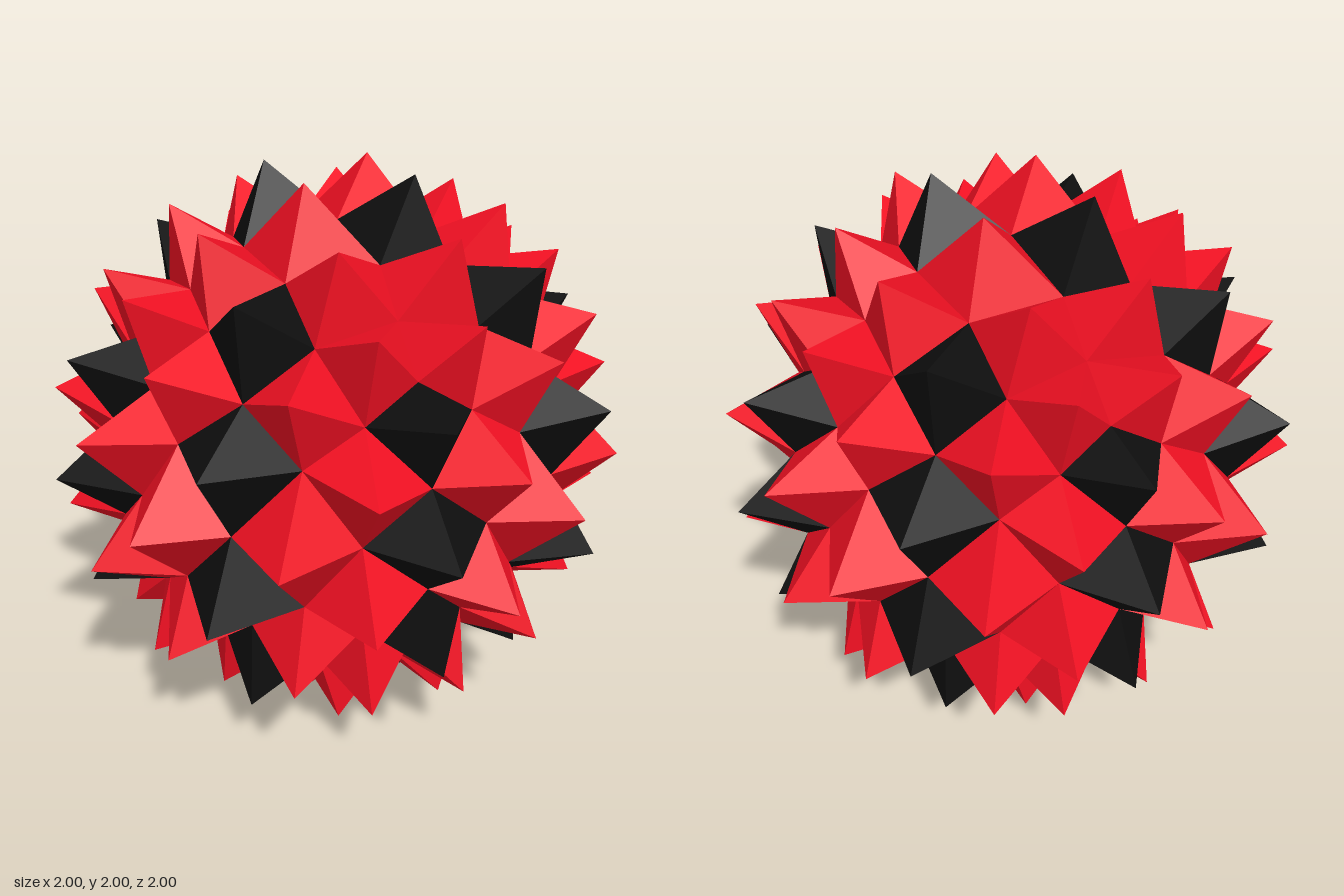
import * as THREE from 'three';

// Spiked ball: a sphere of 108 four-sided cells on a cube layout, each raised into a pyramid.
// Points are [u, v, n] in one quadrant of a cube face (n points outward).
const valley = {
  centre: [0, 0, 0.82],
  inner: [0.25, 0.22, 0.75],
  midU: [0.415, 0, 0.71],
  midV: [0, 0.405, 0.71],
  diagonal: [0.375, 0.375, 0.63],
  edgeU: [0.58, 0.185, 0.58],
  edgeV: [0.185, 0.58, 0.58],
  corner: [0.49, 0.49, 0.49],
};

// Each pyramid (or the part of it inside the quadrant): tip, then the chain of base points
const pyramids = [
  { tip: [0.28, 0, 1], base: ['centre', 'inner', 'midU'], black: true },
  { tip: [0, 0.26, 1], base: ['centre', 'inner', 'midV'] },
  { tip: [0.525, 0.24, 0.875], base: ['inner', 'midU', 'edgeU', 'diagonal', 'inner'] },
  { tip: [0.24, 0.525, 0.875], base: ['inner', 'midV', 'edgeV', 'diagonal', 'inner'] },
  { tip: [0.74, 0, 0.74], base: ['midU', 'edgeU'], black: true },
  { tip: [0, 0.74, 0.74], base: ['midV', 'edgeV'], black: true },
  { tip: [0.68, 0.435, 0.68], base: ['edgeU', 'diagonal', 'corner'] },
  { tip: [0.435, 0.68, 0.68], base: ['edgeV', 'diagonal', 'corner'], blackOnSides: true },
];

// Which world axis (0 = x, 1 = y, 2 = z) plays u, v and n on each pair of cube faces
const faces = [
  { axes: [1, 0, 2], side: true },
  { axes: [1, 2, 0], side: true },
  { axes: [0, 2, 1], side: false },
];

function place(point, axes, signs) {
  const p = new THREE.Vector3();
  axes.forEach((axis, i) => p.setComponent(axis, point[i] * signs[i]));
  return p;
}

// Adds a triangle, turned so that it faces away from the middle of the ball
function addTriangle(list, a, b, c) {
  const normal = b.clone().sub(a).cross(c.clone().sub(a));
  const middle = a.clone().add(b).add(c);
  const order = normal.dot(middle) > 0 ? [a, b, c] : [a, c, b];
  for (const p of order) list.push(p.x, p.y + 1, p.z);
}

function makeMesh(name, color, positions) {
  const geometry = new THREE.BufferGeometry();
  geometry.setAttribute('position', new THREE.Float32BufferAttribute(positions, 3));
  geometry.computeVertexNormals();
  const mesh = new THREE.Mesh(geometry, new THREE.MeshStandardMaterial({ color, flatShading: true }));
  mesh.name = name;
  return mesh;
}

export function createModel() {
  const red = [];
  const black = [];

  // Mirror the quadrant over all six cube faces
  for (const { axes, side } of faces) {
    for (const su of [1, -1]) for (const sv of [1, -1]) for (const sn of [1, -1]) {
      const at = (point) => place(point, axes, [su, sv, sn]);
      for (const { tip, base, black: isBlack, blackOnSides } of pyramids) {
        const list = isBlack || (blackOnSides && side) ? black : red;
        for (let i = 0; i + 1 < base.length; i++) {
          addTriangle(list, at(tip), at(valley[base[i]]), at(valley[base[i + 1]]));
        }
      }
    }
  }

  const group = new THREE.Group();
  group.name = 'spikedBall';
  group.add(makeMesh('redPyramids', 0xf01022, red));
  group.add(makeMesh('blackPyramids', 0x0e0e0e, black));
  return group;
}
